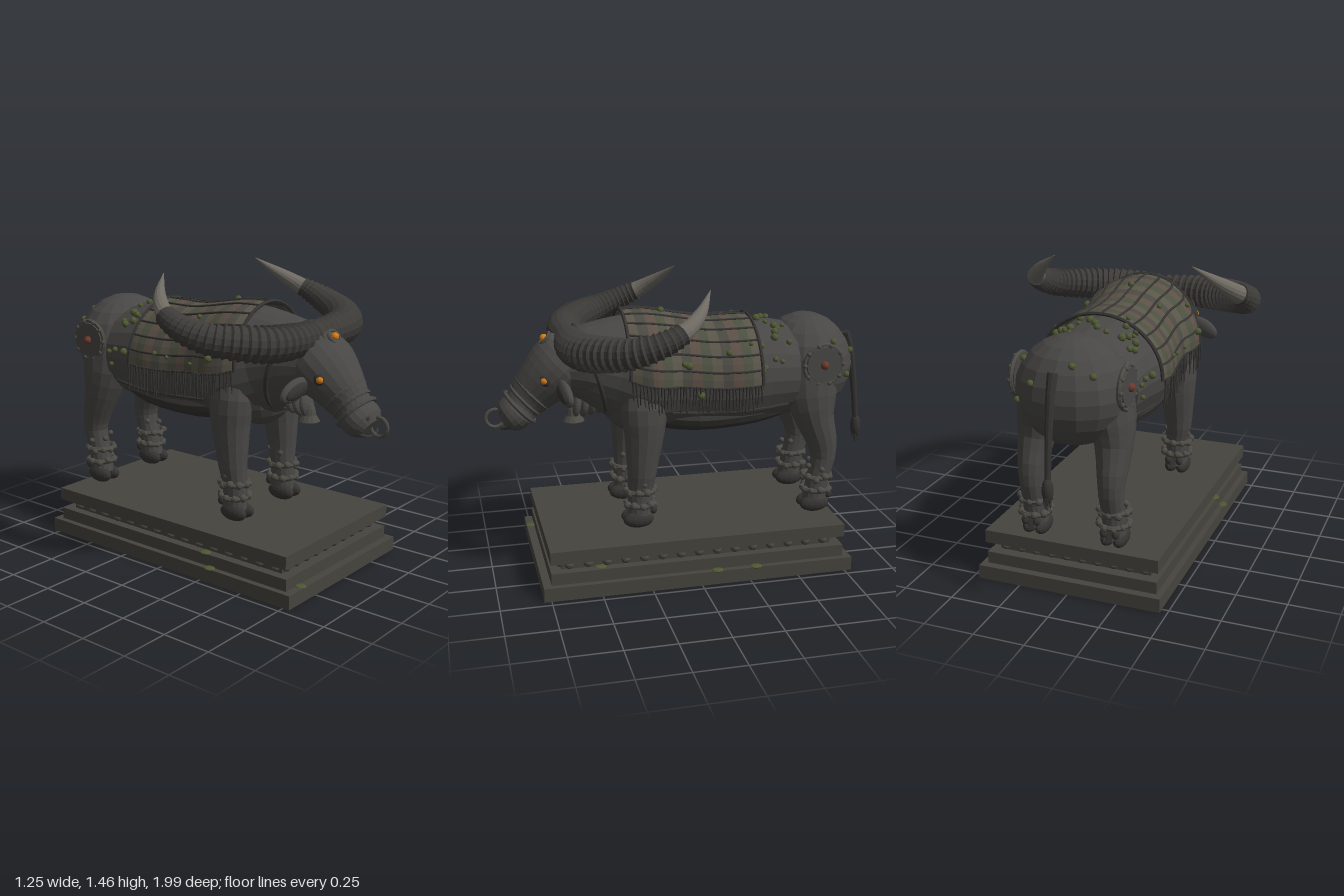
import * as THREE from 'three';

const V = (x, y, z) => new THREE.Vector3(x, y, z);
const mat = (color, opts = {}) => new THREE.MeshStandardMaterial({ color, flatShading: true, ...opts });
const HIDE = mat(0x484745), DARK = mat(0x353432), HORN = mat(0x3d3b38), TIP = mat(0x6e6a62),
  STONE = mat(0x46443e), METAL = mat(0x4c4a44), MOSS = mat(0x4d5733), ORANGE = mat(0xd57c1c), RED = mat(0x6a3a2c);
const CLOTH = [0x5a5549, 0x4c5040, 0x5c4f46, 0x4b4a42].map(c => mat(c, { side: THREE.DoubleSide }));

let seed = 7;
const rnd = () => (seed = (seed * 16807) % 2147483647) / 2147483647;

function add(parent, name, geo, material, p = [0, 0, 0], r = [0, 0, 0], s = [1, 1, 1]) {
  const m = new THREE.Mesh(geo, material);
  m.name = name;
  m.position.set(...p); m.rotation.set(...r); m.scale.set(...s);
  parent.add(m);
  return m;
}
function group(parent, name) {
  const g = new THREE.Group();
  g.name = name;
  parent.add(g);
  return g;
}
const ball = (parent, name, material, p, s, r) =>
  add(parent, name, new THREE.SphereGeometry(1, 16, 12), material, p, r, s);
const knob = (parent, name, material, p, s) =>
  add(parent, name, new THREE.IcosahedronGeometry(s, 1), material, p);
const tube = (parent, name, material, pts, r, closed = false, n = 24) =>
  add(parent, name, new THREE.TubeGeometry(new THREE.CatmullRomCurve3(pts, closed), n, r, 6, closed), material);

// Closed skin over elliptical sections [x, y, z, ra, rb]; sub smooths between them
function loft(sections, sides, sub = 1, ref = V(1, 0, 0)) {
  const path = new THREE.CatmullRomCurve3(sections.map(s => V(s[0], s[1], s[2])));
  const radii = new THREE.CatmullRomCurve3(sections.map(s => V(s[3], s[4], 0)), false, 'catmullrom');
  const n = (sections.length - 1) * sub, c = [], pos = [], idx = [];
  for (let i = 0; i <= n; i++) c.push(path.getPoint(i / n));
  for (let i = 0; i <= n; i++) {
    const t = c[Math.min(i + 1, n)].clone().sub(c[Math.max(i - 1, 0)]).normalize();
    const v = t.clone().cross(ref).normalize(), u = v.clone().cross(t);
    const r = radii.getPoint(i / n);
    for (let j = 0; j < sides; j++) {
      const a = j / sides * Math.PI * 2;
      const p = c[i].clone().addScaledVector(u, Math.cos(a) * r.x).addScaledVector(v, Math.sin(a) * r.y);
      pos.push(p.x, p.y, p.z);
      const a0 = i * sides + j, a1 = i * sides + (j + 1) % sides;
      if (i < n) idx.push(a0, a1, a0 + sides, a1, a1 + sides, a0 + sides);
    }
  }
  const k = (n + 1) * sides;
  pos.push(...c[0].toArray(), ...c[n].toArray());
  for (let j = 0; j < sides; j++) {
    const j1 = (j + 1) % sides;
    idx.push(k, j1, j, k + 1, n * sides + j, n * sides + j1);
  }
  const g = new THREE.BufferGeometry();
  g.setAttribute('position', new THREE.Float32BufferAttribute(pos, 3));
  g.setIndex(idx);
  g.computeVertexNormals();
  return g;
}

// Barrel: [centre y, half width, half height], every 0.15 from z = -0.55
const BARREL = [[.97, .27, .24], [.975, .285, .265], [.97, .305, .275], [.97, .285, .275], [.985, .275, .285],
  [1, .305, .295], [1.035, .24, .255], [1.06, .2, .19], [1.06, .15, .13]];
const barrelCurve = new THREE.CatmullRomCurve3(BARREL.map(b => V(...b)), false, 'catmullrom');
function onBarrel(z, a, off = 0) {
  const b = barrelCurve.getPoint(THREE.MathUtils.clamp((z + .55) / 1.2, 0, 1));
  return V(Math.cos(a) * (b.y + off), b.x + Math.sin(a) * (b.z + off), z);
}

function plinth(root) {
  const g = group(root, 'plinth');
  [[.93, 0, .07, 1.57], [.87, .07, .13, 1.49], [.78, .13, .18, 1.38], [.886, .18, .245, 1.495]].forEach(([w, y0, y1, d], i) =>
    add(g, 'plinthStep' + i, new THREE.BoxGeometry(w, y1 - y0, d), STONE, [0, (y0 + y1) / 2, 0]));
  for (const s of [-1, 1]) {
    for (let i = 0; i < 10; i++) knob(g, 'plinthBead', METAL, [-.36 + i * .08, .155, s * .69], .024);
    for (let i = 0; i < 15; i++) knob(g, 'plinthBead', METAL, [s * .39, .155, -.651 + i * .093], .024);
  }
  for (const [x, y, z] of [[-.34, .07, .76], [-.42, .13, .25], [.45, .07, -.08], [.45, .07, -.28], [-.45, .07, .3], [.4, .13, .5]])
    ball(g, 'moss', MOSS, [x, y, z], [.025, .008, .03]);
}

function body(root) {
  const g = group(root, 'body');
  add(g, 'barrel', loft(BARREL.map(([y, w, h], i) => [0, y, -.55 + i * .15, w, h]), 24, 2), HIDE);
  add(g, 'belly', loft([[0, .8, -.6, .12, .05], [0, .79, -.35, .22, .09], [0, .78, -.05, .23, .095], [0, .8, .2, .16, .08]], 18, 3), DARK);
  ball(g, 'rump', HIDE, [0, .995, -.66], [.275, .26, .24]);
  ball(g, 'chest', HIDE, [0, .92, .28], [.24, .22, .15]);
  // dewlap folds, neck strap and bell
  for (let i = 0; i < 5; i++) ball(g, 'dewlapFold', HIDE, [0, .86 - i * .006, .38 + i * .04], [.07 - i * .005, .065, .026], [-.2, 0, 0]);
  const ring = [];
  for (let i = 0; i < 20; i++) {
    const a = i / 20 * Math.PI * 2;
    ring.push(onBarrel(.47 + .07 * Math.sin(a), a, .008));
  }
  tube(g, 'neckStrap', DARK, ring, .012, true, 40);
  const bell = [[0, .09], [.02, .085], [.03, .06], [.035, .03], [.055, 0], [.045, 0], [0, .04]].map(p => new THREE.Vector2(...p).clone());
  add(g, 'bell', new THREE.LatheGeometry(bell.reverse(), 12), METAL, [0, .76, .555]);
  knob(g, 'bellClapper', METAL, [0, .758, .555], .016);
  // belly seam and haunch roundels
  for (const s of [-1, 1]) {
    const a = s > 0 ? -.55 : Math.PI + .55;
    tube(g, 'flankSeam', DARK, [-.5, -.3, -.1, .1].map(z => onBarrel(z, a, .002)), .008);
    add(g, 'haunchRing', new THREE.TorusGeometry(.1, .012, 6, 24), METAL, [s * .262, 1.04, -.67], [0, Math.PI / 2, 0]);
    add(g, 'haunchDisc', new THREE.CylinderGeometry(.09, .1, .03, 20), HIDE, [s * .262, 1.04, -.67], [0, 0, -s * Math.PI / 2]);
    knob(g, 'haunchStud', RED, [s * .28, 1.04, -.67], .022);
    for (let i = 0; i < 10; i++) knob(g, 'haunchBead', METAL,
      [s * .27, 1.04 + .1 * Math.sin(i * Math.PI / 5), -.67 + .1 * Math.cos(i * Math.PI / 5)], .012);
  }
  // scattered moss tufts
  for (let i = 0; i < 44; i++) {
    const z = i < 30 ? -.52 + rnd() * .2 : -.3 + rnd() * .55;
    const p = onBarrel(z, -.15 + rnd() * (Math.PI + .3), i < 30 ? .005 : .025);
    knob(g, 'moss', MOSS, p.toArray(), .01 + rnd() * .011);
  }
  for (const [a, b] of [[.4, .6], [1.1, .3], [2.3, .5], [2.8, .2], [1.9, .7], [.7, -.1]])
    knob(g, 'moss', MOSS, [.275 * Math.cos(a) * Math.cos(b), .995 + .26 * Math.sin(b), -.66 - .24 * Math.sin(a) * Math.cos(b)], .017);
}

function saddleCloth(root) {
  const g = group(root, 'saddleCloth'), z0 = -.34, z1 = .31, bands = 13, A0 = -.02, A1 = Math.PI + .02;
  for (let i = 0; i < bands; i++) {
    const geo = new THREE.PlaneGeometry(1, 1, 24, 2), p = geo.attributes.position;
    for (let k = 0; k < p.count; k++) {
      const z = z0 + (z1 - z0) * (i + .5 - p.getY(k)) / bands;
      const q = onBarrel(z, A0 + (A1 - A0) * (.5 - p.getX(k)), .02);
      p.setXYZ(k, q.x, q.y, q.z);
    }
    geo.computeVertexNormals();
    add(g, 'clothBand', geo, CLOTH[i % 4]);
  }
  const steps = n => Array.from({ length: n + 1 }, (_, i) => i / n);
  for (const f of steps(12)) {
    const a = A0 + (A1 - A0) * f;
    tube(g, 'clothCord', DARK, steps(8).map(k => onBarrel(z0 + (z1 - z0) * k, a, .022)), .006);
  }
  for (const z of [z0, z1]) tube(g, 'clothHem', DARK, steps(16).map(k => onBarrel(z, A0 + (A1 - A0) * k, .022)), .009, false, 32);
  // hanging fringe on both flanks
  for (const a of [0, Math.PI]) for (let i = 0; i < 40; i++) {
    const p = onBarrel(z0 + (z1 - z0) * (i + .5) / 40, a, .02), h = .09 + rnd() * .05;
    add(g, 'fringe', new THREE.CylinderGeometry(.006, .003, h, 5), DARK, [p.x + Math.sign(p.x) * rnd() * .012, p.y - h / 2, p.z],
      [(rnd() - .5) * .15, 0, (rnd() - .5) * .15]);
  }
}

function leg(root, name, s, sections, z) {
  const g = group(root, name);
  add(g, 'limb', loft(sections.map(([x, ...r]) => [x * s, ...r]), 14, 2), HIDE);
  for (const o of [-1, 1]) {
    ball(g, 'hoof', DARK, [s * .2 + o * .031, .288, z + .015], [.034, .043, .078]);
    ball(g, 'dewclaw', DARK, [s * .2 + o * .03, .335, z - .06], [.018, .024, .02]);
  }
  // anklets with beads
  for (const y of [.365, .435]) {
    add(g, 'anklet', new THREE.TorusGeometry(.069, .013, 6, 18), METAL, [s * .2, y, z], [Math.PI / 2, 0, 0]);
    for (let i = 0; i < 10; i++) {
      const a = (i + (y > .4 ? .5 : 0)) * Math.PI / 5;
      knob(g, 'ankletBead', METAL, [s * .2 + Math.cos(a) * .071, y + (rnd() - .5) * .02, z + Math.sin(a) * .071], .015 + rnd() * .006);
    }
  }
  for (let i = 0; i < 5; i++) knob(g, 'legStud', METAL, [s * (.2 + .06 * Math.cos(i * 1.3)), .48 + i * .012, z - .01 + .06 * Math.sin(i * 1.3)], .015);
}

function head(root) {
  const g = group(root, 'head');
  add(g, 'skull', loft([[0, 1.13, .53, .12, .1], [0, 1.08, .59, .17, .145], [0, 1.03, .645, .172, .15], [0, .97, .71, .145, .13],
    [0, .9, .775, .105, .108], [0, .865, .81, .098, .09], [0, .835, .835, .115, .092], [0, .805, .875, .108, .085], [0, .785, .905, .075, .055]], 20, 2), HIDE);
  // snout folds and brow wrinkles
  for (const [y, z, r] of [[.92, .76, .112], [.885, .795, .1], [.85, .822, .108]])
    add(g, 'snoutFold', new THREE.TorusGeometry(r, .011, 6, 24), HIDE, [0, y, z], [.75, 0, 0], [1, .93, 1]);
  for (let i = 0; i < 4; i++) {
    const y = 1.1 - i * .032, z = .737 + i * .024, w = .1 - i * .008;
    tube(g, 'browWrinkle', DARK, [V(-w, y - .01, z - .022), V(-w / 2, y, z), V(0, y + .005, z + .01), V(w / 2, y, z), V(w, y - .01, z - .022)], .009);
  }
  tube(g, 'mouth', DARK, [V(-.1, .8, .85), V(-.06, .762, .9), V(0, .752, .915), V(.06, .762, .9), V(.1, .8, .85)], .008);
  add(g, 'noseRing', new THREE.TorusGeometry(.045, .009, 8, 24), METAL, [0, .8, .946], [0, Math.PI / 2, 0]);
  // forehead jewel
  ball(g, 'jewelMount', METAL, [0, 1.175, .665], [.055, .045, .03], [-.7, 0, 0]);
  add(g, 'jewelRim', new THREE.TorusGeometry(.036, .009, 6, 18), METAL, [0, 1.19, .687], [-.7, 0, 0]);
  knob(g, 'jewel', ORANGE, [0, 1.193, .69], .02);
  for (const s of [-1, 1]) {
    ball(g, 'eyeSocket', DARK, [s * .138, 1.015, .7], [.026, .034, .032]);
    ball(g, 'eye', ORANGE, [s * .149, 1.015, .71], [.017, .019, .02]);
    knob(g, 'nostril', DARK, [s * .05, .845, .905], .02);
    ball(g, 'ear', HIDE, [s * .22, .965, .62], [.092, .05, .028], [0, s * .2, -s * .38]);
    ball(g, 'innerEar', DARK, [s * .224, .964, .637], [.07, .033, .018], [0, s * .2, -s * .38]);
    horn(g, s);
  }
}

// Ridged swept horn with a smooth tip
function horn(parent, s) {
  const g = group(parent, s > 0 ? 'leftHorn' : 'rightHorn');
  const pts = [[0, 1.18, .57, .07], [.17, 1.18, .57, .08], [.32, 1.185, .535, .084], [.44, 1.2, .45, .08], [.525, 1.22, .34, .071],
    [.558, 1.26, .22, .06], [.54, 1.31, .11, .047], [.47, 1.375, .02, .032], [.36, 1.46, -.055, .002]];
  const path = new THREE.CatmullRomCurve3(pts.map(p => V(p[0] * s, p[1], p[2])));
  const rad = new THREE.CatmullRomCurve3(pts.map(p => V(p[3], 0, 0)), false, 'catmullrom');
  const at = (t, k) => {
    const r = Math.max(rad.getPoint(t).x, .002) * k;
    return [...path.getPoint(t).toArray(), r, r];
  };
  const ridged = [], tip = [], n = 24, end = .74;
  for (let i = 0; i < n; i++) ridged.push(at(i / n * end, .94), at((i + .4) / n * end, .98), at((i + .75) / n * end, 1.08));
  for (let i = 0; i <= 10; i++) tip.push(at(.7 + .3 * i / 10, .92));
  add(g, 'ridgedHorn', loft(ridged, 16, 1, V(0, 1, 0)), HORN);
  add(g, 'hornTip', loft(tip, 14, 1, V(0, 1, 0)), TIP);
}

function tail(root) {
  const g = group(root, 'tail');
  add(g, 'tailStem', loft([[0, 1.14, -.885, .026, .022], [0, 1.05, -.915, .022, .02], [0, .85, -.945, .017, .017], [0, .64, -.967, .014, .014]], 10, 3), DARK);
  ball(g, 'tuft', DARK, [0, .62, -.967], [.027, .06, .027]);
  for (let i = 0; i < 9; i++) {
    const a = i * 2.4, r = i ? .015 : 0;
    add(g, 'tuftHair', new THREE.ConeGeometry(.009, .09, 5), DARK, [Math.cos(a) * r, .57, -.97 + Math.sin(a) * r], [Math.PI, 0, 0]);
  }
}

export function createModel() {
  const root = new THREE.Group();
  root.name = 'buffaloStatue';
  plinth(root);
  body(root);
  saddleCloth(root);
  for (const s of [-1, 1]) {
    const side = s > 0 ? 'left' : 'right';
    leg(root, side + 'FrontLeg', s, [[.17, 1, .23, .08, .09], [.2, .86, .235, .1, .115], [.205, .73, .235, .092, .1], [.207, .6, .245, .078, .082],
      [.207, .52, .25, .07, .072], [.2, .42, .258, .058, .063], [.2, .3, .258, .058, .066]], .258);
    leg(root, side + 'HindLeg', s, [[.15, 1, -.64, .12, .15], [.18, .86, -.64, .108, .135], [.195, .74, -.66, .088, .1], [.2, .62, -.7, .07, .08],
      [.2, .53, -.71, .06, .065], [.2, .42, -.685, .057, .06], [.2, .3, -.67, .058, .066]], -.675);
  }
  head(root);
  tail(root);
  return root;
}
